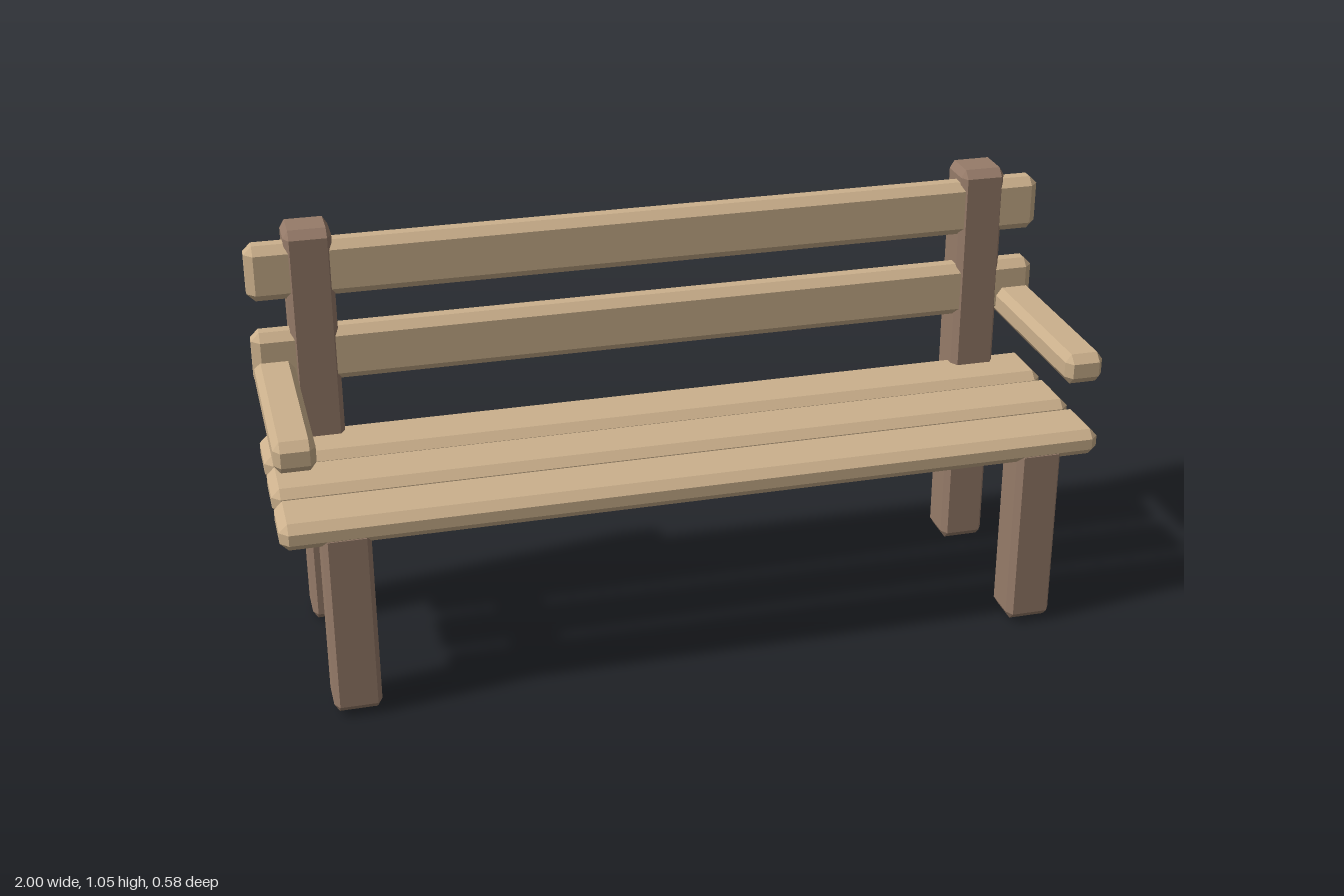
import * as THREE from 'three';
import { ConvexGeometry } from 'three/addons/geometries/ConvexGeometry.js';

// Beam spanning [x0,x1] x [y0,y1] x [z0,z1] with every edge and corner bevelled
function beam(name, material, [x0, x1], [y0, y1], [z0, z1], bevelX = 0.02) {
  const half = new THREE.Vector3(x1 - x0, y1 - y0, z1 - z0).multiplyScalar(0.5);
  const inner = half.clone().sub(new THREE.Vector3(bevelX, 0.02, 0.02));
  const points = [];
  for (const sx of [-1, 1]) for (const sy of [-1, 1]) for (const sz of [-1, 1]) {
    const sign = new THREE.Vector3(sx, sy, sz);
    for (const axis of ['x', 'y', 'z']) {
      const p = inner.clone();
      p[axis] = half[axis];
      points.push(p.multiply(sign));
    }
  }
  const mesh = new THREE.Mesh(new ConvexGeometry(points), material);
  mesh.position.set((x0 + x1) / 2, (y0 + y1) / 2, (z0 + z1) / 2);
  mesh.name = name;
  return mesh;
}

export function createModel() {
  const bench = new THREE.Group();
  bench.name = 'bench';

  const plankWood = new THREE.MeshStandardMaterial({ color: 0xcbb08c });
  plankWood.name = 'light plank wood';
  const postWood = new THREE.MeshStandardMaterial({ color: 0x967b69 });
  postWood.name = 'dark post wood';

  // Seat planks, front to back
  [['frontSeatPlank', 0.133, 0.29], ['middleSeatPlank', -0.048, 0.11], ['rearSeatPlank', -0.229, -0.07]]
    .forEach(([name, z0, z1]) => bench.add(beam(name, plankWood, [-1, 1], [0.453, 0.52], [z0, z1])));

  // Backrest planks
  [['lowerBackPlank', 0.658, 0.796], ['upperBackPlank', 0.878, 1.017]]
    .forEach(([name, y0, y1]) => bench.add(beam(name, plankWood, [-1, 1], [y0, y1], [-0.243, -0.175])));

  // Legs, posts and armrests on each side
  for (const [side, s] of [['left', 1], ['right', -1]]) {
    const span = (a, b) => (s > 0 ? [a, b] : [-b, -a]);
    bench.add(
      beam(side + 'FrontLeg', postWood, span(0.792, 0.906), [0.008, 0.49], [0.171, 0.29], 0.012),
      beam(side + 'BackPost', postWood, span(0.792, 0.906), [0, 1.05], [-0.29, -0.17], 0.012),
      beam(side + 'Armrest', plankWood, span(0.902, 0.998), [0.648, 0.725], [-0.264, 0.286], 0.015),
    );
  }
  return bench;
}
